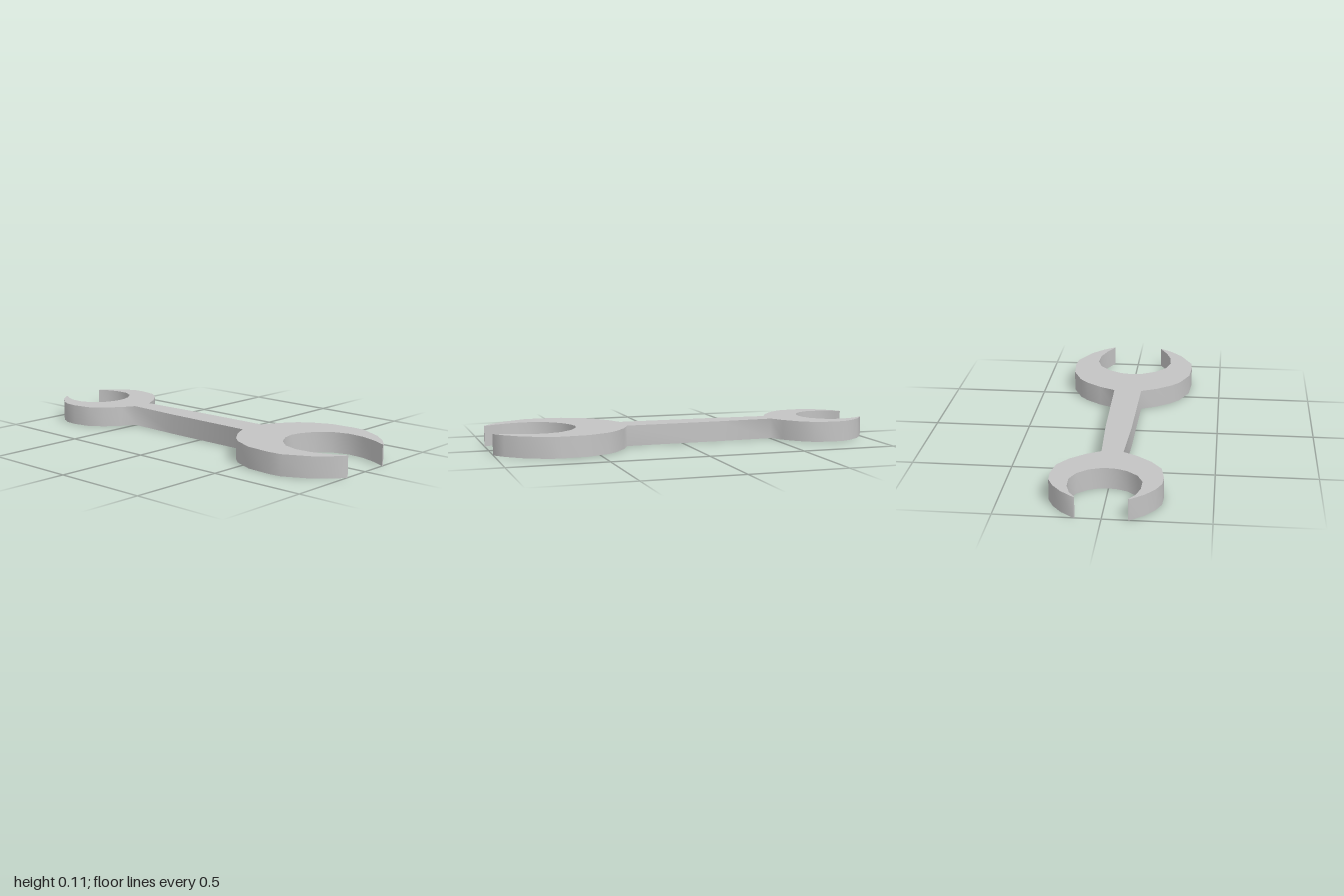
import * as THREE from 'three';
import { toCreasedNormals } from 'three/addons/utils/BufferGeometryUtils.js';

const BOTTOM = 0.003, TOP = 0.109;

// Half outlines as [x, half width], running from -x to +x along one side
const smallJawInner = [
  [-0.693, 0], [-0.697, 0.04], [-0.715, 0.09], [-0.76, 0.143], [-0.82, 0.171],
  [-0.895, 0.169], [-0.955, 0.15], [-1, 0.12],
];
const smallJawOuter = [
  [-1, 0.128], [-0.95, 0.19], [-0.895, 0.235], [-0.835, 0.263], [-0.77, 0.267],
  [-0.675, 0.25], [-0.605, 0.198], [-0.545, 0.125],
];
const handle = [[-0.505, 0.054], [-0.2, 0.067], [0.3, 0.074]];
const largeJawOuter = [
  [0.34, 0.157], [0.4, 0.237], [0.45, 0.28], [0.56, 0.328], [0.69, 0.338],
  [0.76, 0.332], [0.885, 0.268], [0.955, 0.205], [1, 0.148],
];
const largeJawInner = [
  [1, 0.14], [0.925, 0.178], [0.84, 0.206], [0.75, 0.212], [0.67, 0.187],
  [0.605, 0.13], [0.567, 0.06], [0.555, 0],
];

export function createModel() {
  const steel = new THREE.MeshStandardMaterial({ color: 0xc3c3c3 });
  steel.name = 'light steel grey';

  // Mirror the half outline across the long axis to close the shape
  const half = [...smallJawInner, ...smallJawOuter, ...handle, ...largeJawOuter, ...largeJawInner];
  const mirrored = half.slice(1, -1).reverse().map(([x, z]) => [x, -z]);
  const shape = new THREE.Shape([...half, ...mirrored].map(([x, z]) => new THREE.Vector2(x, z)));

  // Lay the plate flat; walls flow smoothly into the handle, rims and jaw tips stay crisp
  let geometry = new THREE.ExtrudeGeometry(shape, { depth: TOP - BOTTOM, bevelEnabled: false });
  geometry.rotateX(Math.PI / 2);
  geometry.translate(0, TOP, 0);
  geometry = toCreasedNormals(geometry, 1.2);

  const body = new THREE.Mesh(geometry, steel);
  body.name = 'spannerBody';
  const group = new THREE.Group();
  group.name = 'openEndedSpanner';
  group.add(body);
  return group;
}
